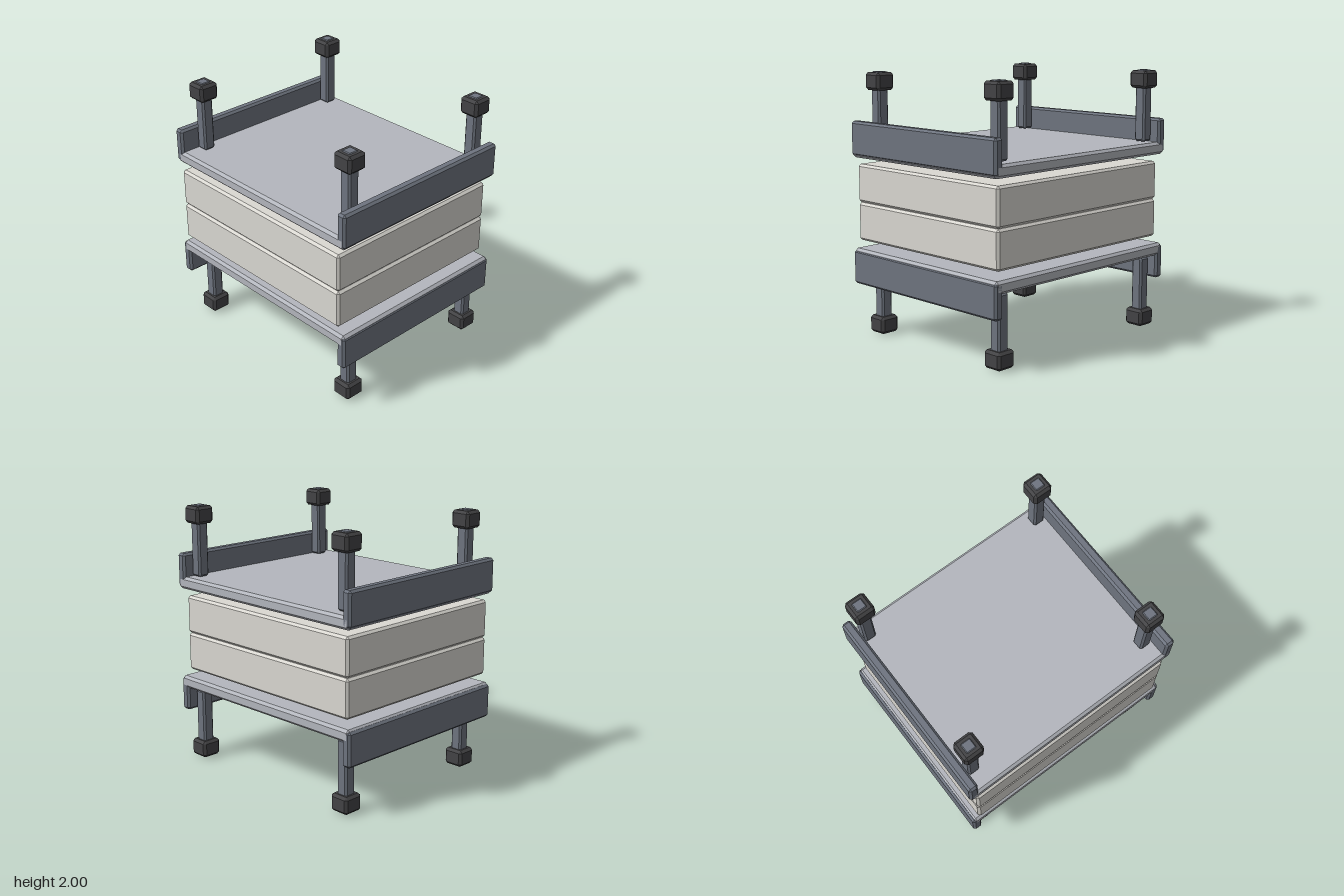
import * as THREE from 'three';
import { ConvexGeometry } from 'three/addons/geometries/ConvexGeometry.js';

const paint = (color) => new THREE.MeshStandardMaterial({ color, flatShading: true });

// Box between two corners with every edge cut by one flat chamfer
function chamferBox(name, material, min, max, bevel) {
  const centre = min.map((v, i) => (v + max[i]) / 2);
  const half = min.map((v, i) => (max[i] - v) / 2);
  const points = [];
  for (const sx of [-1, 1]) for (const sy of [-1, 1]) for (const sz of [-1, 1]) {
    for (let axis = 0; axis < 3; axis++) {
      const p = [sx, sy, sz].map((s, i) => s * (half[i] - (i === axis ? 0 : bevel)));
      points.push(new THREE.Vector3(...p));
    }
  }
  const mesh = new THREE.Mesh(new ConvexGeometry(points), material);
  mesh.position.set(...centre);
  mesh.name = name;
  return mesh;
}

export function createModel() {
  const model = new THREE.Group();
  model.name = 'stackedFrame';
  const plateMat = paint(0xb4b7be);
  const steelMat = paint(0x6f7580);
  const footMat = paint(0x444446);
  const blockMat = paint(0xdbd9d3);

  // Two pale blocks in the middle
  [['lowerBlock', 0.71], ['upperBlock', 1.005]].forEach(([name, y]) => {
    model.add(chamferBox(name, blockMat, [-0.862, y, -0.74], [0.855, y + 0.293, 0.775], 0.018));
  });

  // Lower and upper frames mirror each other about the mid height
  for (const upper of [false, true]) {
    const frame = new THREE.Group();
    frame.name = upper ? 'upperFrame' : 'lowerFrame';
    // Heights are given for the lower frame and flipped for the upper one
    const add = (name, mat, x0, x1, y0, y1, z0, z1, bevel) => {
      const [a, b] = upper ? [2 - y1, 2 - y0] : [y0, y1];
      frame.add(chamferBox(name, mat, [x0, a, z0], [x1, b, z1], bevel));
    };
    const rise = upper ? -0.008 : 0;

    // Plate with a rail along each side
    add('plate', plateMat, -0.905, 0.905, 0.56 + rise, 0.655 + rise, -0.775, 0.775, 0.02);
    add('rightRail', steelMat, -0.917, -0.84, 0.38 + rise, 0.642 + rise, -0.775, 0.775, 0.017);
    add('leftRail', steelMat, 0.835, 0.912, 0.38 + rise, 0.642 + rise, -0.775, 0.775, 0.017);

    // Corner legs with square feet; the leg tip shows through the foot
    for (const x of [-0.779, 0.772]) for (const z of [-0.665, 0.593]) {
      add('leg', steelMat, x - 0.047, x + 0.047, 0, 0.545, z - 0.047, z + 0.047, 0.014);
      add('foot', footMat, x - 0.08, x + 0.08, 0.006, 0.138, z - 0.08, z + 0.08, 0.02);
    }
    model.add(frame);
  }
  return model;
}
